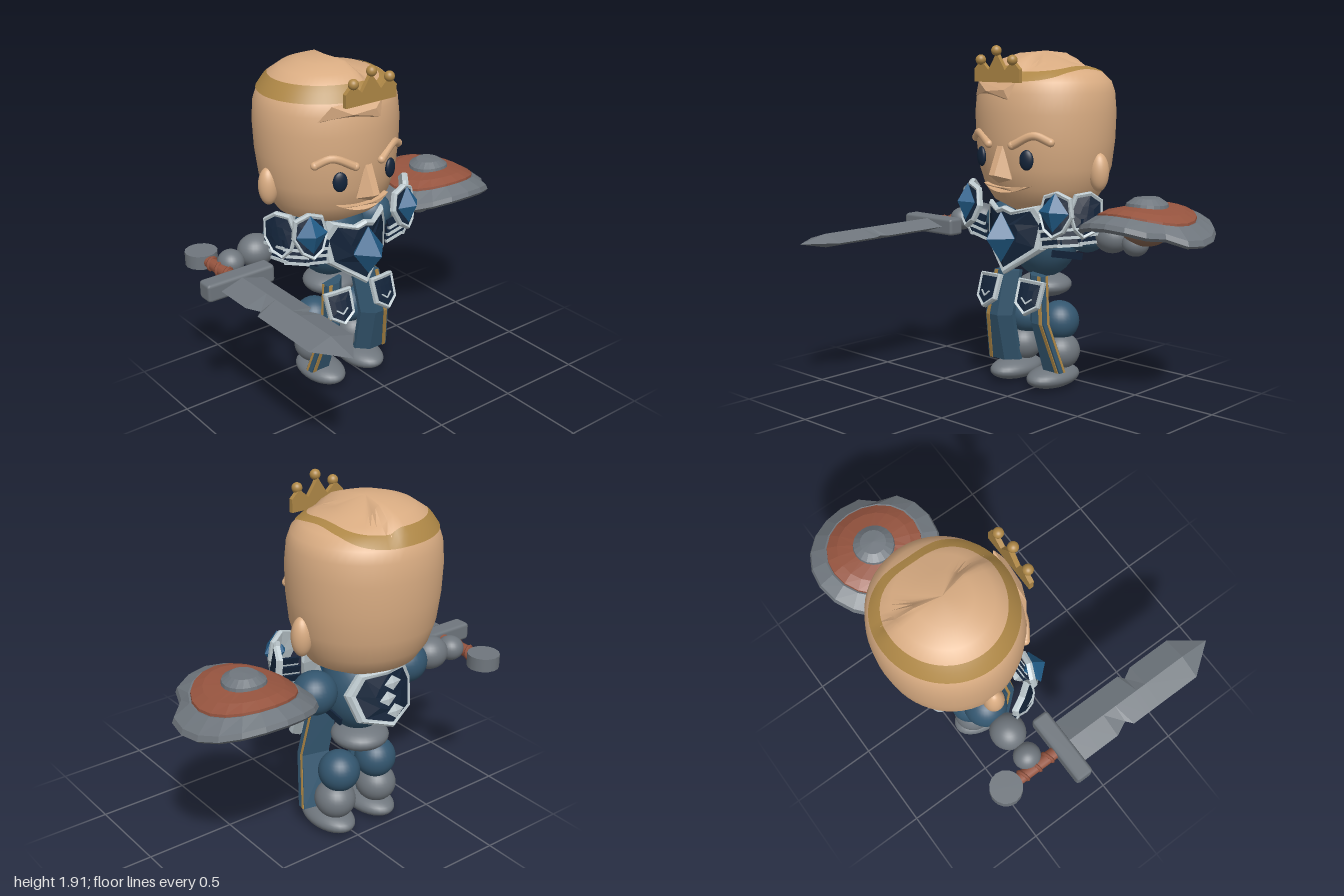
import * as THREE from 'three';
import { toCreasedNormals } from 'three/addons/utils/BufferGeometryUtils.js';
import { RoundedBoxGeometry } from 'three/addons/geometries/RoundedBoxGeometry.js';
import { ConvexGeometry } from 'three/addons/geometries/ConvexGeometry.js';

const V = (x, y, z) => new THREE.Vector3(x, y, z);

export function createModel() {
  const mat = (name, color) => {
    const m = new THREE.MeshStandardMaterial({ color });
    m.name = name;
    return m;
  };
  const skin = mat('skin', 0xd9ac82), blue = mat('blueCloth', 0x33566f), grey = mat('greyMetal', 0x6f767d);
  const red = mat('redLeather', 0x96543f), gold = mat('gold', 0xae8746), silver = mat('silver', 0xbcc8cd);
  const navy = mat('navy', 0x13243a), gemBlue = mat('gemBlue', 0x235f8c), brown = mat('brown', 0x84634f);

  const model = new THREE.Group();
  model.name = 'knight';
  const body = new THREE.Group();
  body.name = 'body';
  body.position.x = -0.08;
  model.add(body);

  const add = (name, geo, m, p = [0, 0, 0], r = [0, 0, 0], parent = body) => {
    const mesh = new THREE.Mesh(geo, m);
    mesh.name = name;
    mesh.position.set(...p);
    mesh.rotation.set(...r);
    parent.add(mesh);
    return mesh;
  };
  const ball = (name, m, p, r, parent) =>
    add(name, new THREE.SphereGeometry(1, 28, 18).scale(...r), m, p, [0, 0, 0], parent);
  const warp = (geo, rule) => {
    const a = geo.attributes.position, v = V();
    for (let i = 0; i < a.count; i++) {
      rule(v.fromBufferAttribute(a, i));
      a.setXYZ(i, v.x, v.y, v.z);
    }
    geo.computeVertexNormals();
    return geo;
  };
  // skin over stacked rings, counterclockwise seen from the end of the stack
  const loft = (rings, { crease = 0, cap = true, s = 1 } = {}) => {
    if (s < 0) rings = rings.map(r => r.map(p => V(-p.x, p.y, p.z)).reverse());
    if (cap) {
      const mid = r => {
        const c = r.reduce((t, p) => t.add(p), V(0, 0, 0)).divideScalar(r.length);
        return r.map(() => c);
      };
      rings = [mid(rings[0]), ...rings, mid(rings.at(-1))];
    }
    const pos = [];
    const tri = (a, b, c) => {
      if (a.distanceTo(b) > 1e-6 && b.distanceTo(c) > 1e-6 && a.distanceTo(c) > 1e-6)
        for (const p of [a, b, c]) pos.push(p.x, p.y, p.z);
    };
    for (let k = 0; k + 1 < rings.length; k++) {
      const lo = rings[k], hi = rings[k + 1], n = lo.length;
      for (let i = 0; i < n; i++) {
        const j = (i + 1) % n;
        tri(lo[i], lo[j], hi[j]);
        tri(lo[i], hi[j], hi[i]);
      }
    }
    const g = new THREE.BufferGeometry();
    g.setAttribute('position', new THREE.Float32BufferAttribute(pos, 3));
    g.computeVertexNormals();
    return crease ? toCreasedNormals(g, crease) : g;
  };
  const around = (n, f) => Array.from({ length: n }, (_, i) => f(i / n * Math.PI * 2));

  // head: flat-topped egg whose dome drops on one side of the parting
  const headProfile = [[.98, 0], [1.0, .18], [1.06, .295], [1.14, .347], [1.25, .382], [1.4, .4], [1.55, .405],
    [1.66, .395], [1.72, .374], [1.79, .325], [1.84, .25], [1.872, .15], [1.885, 0]];
  const headPoint = (a, y, r) => {
    const x = r * Math.sin(a);
    const drop = y > 1.72 ? 0.35 * THREE.MathUtils.smoothstep(x, 0.03, 0.09) : 0;
    return V(x, y - (y - 1.72) * drop, -0.4 + r * .94 * Math.cos(a));
  };
  add('head', loft(headProfile.map(([y, r]) => around(56, a => headPoint(a, y, r))), { crease: 0.6, cap: false }), skin);
  const domeY = r => {
    const i = headProfile.findIndex(([y, q]) => y > 1.72 && q <= r);
    const [y0, r0] = headProfile[i - 1], [y1, r1] = headProfile[i];
    return y0 + (y1 - y0) * (r0 - r) / (r0 - r1);
  };
  // gold circlet on the edge of the dome, set higher on the parted side
  const bandRing = (r0, shift) => around(72, a => {
    const r = r0 - shift * Math.max(0, Math.sin(a)) ** 4;
    return headPoint(a, domeY(r) + 0.005, r + 0.003);
  });
  add('circlet', loft([bandRing(.373, .09), bandRing(.34, .08), bandRing(.31, .07)], { cap: false, crease: 0.6 }), gold);
  const half = [[.163, 1.72], [.163, 1.79], [.115, 1.835], [.06, 1.785], [0, 1.875]];
  const mirrored = half.concat(half.slice(0, -1).reverse().map(([x, y]) => [-x, y]));
  const shape = pts => new THREE.Shape(pts.map(p => new THREE.Vector2(...p)));
  add('crownFront', new THREE.ExtrudeGeometry(shape(mirrored), { depth: .025, bevelEnabled: false }), gold, [0, 0, -.025]);
  for (const [x, y] of [[-.115, 1.838], [0, 1.887], [.115, 1.838]]) ball('crownBead', gold, [x, y, 0], [.028, .028, .028]);
  add('forelock', new ConvexGeometry([V(-.26, 1.64, -.11), V(-.2, 1.72, -.07), V(.1, 1.72, -.04), V(.07, 1.63, -.015),
    V(.04, 1.68, -.012), V(-.1, 1.67, -.022), V(.03, 1.7, -.1)]), skin);

  // face
  add('nose', new ConvexGeometry([V(-.02, 1.385, -.03), V(.02, 1.385, -.03), V(-.02, 1.225, .04), V(.02, 1.225, .04),
    V(-.075, 1.2, -.04), V(.075, 1.2, -.04), V(0, 1.178, -.015), V(0, 1.3, -.12)]), skin);
  const lip = new THREE.Shape();
  lip.moveTo(-.163, 1.165);
  lip.quadraticCurveTo(0, 1.085, .163, 1.165);
  lip.quadraticCurveTo(0, 1.14, -.163, 1.165);
  add('mouth', warp(new THREE.ExtrudeGeometry(lip, { depth: .05, bevelEnabled: false }), v => { v.z -= .085 + 1.3 * v.x * v.x; }), skin);
  for (const s of [-1, 1]) {
    ball('eye', navy, [s * .166, 1.31, -.056], [.04, .055, .02]).rotation.y = s * .35;
    const brow = [V(s * .275, 1.405, -.125), V(s * .2, 1.44, -.075), V(s * .085, 1.385, -.03)];
    add('eyebrow', new THREE.TubeGeometry(new THREE.CatmullRomCurve3(brow), 16, .023, 8), skin);
    for (const p of [brow[0], brow[2]]) ball('eyebrowEnd', skin, p.toArray(), [.023, .023, .023]);
    ball('ear', skin, [s * .385, 1.235, -.4], [.055, .105, .055]);
  }

  // trunk and limbs
  ball('torso', blue, [0, .86, -.39], [.21, .25, .19]);
  ball('pelvis', grey, [0, .565, -.4], [.155, .07, .155]);
  for (const s of [-1, 1]) {
    ball('thigh', blue, [s * .125, .372, -.385], [.113, .113, .113]);
    ball('shin', grey, [s * .142, .2, -.375], [.11, .105, .115]);
    ball('foot', grey, [s * .14, .065, -.315], [.115, .063, .187]);
    ball('upperArm', blue, [s * .305, .9, -.4], [.12, .115, .115]);
    ball('forearm', grey, [s * .49, .895, -.39], [.102, .09, .095]);
    ball('hand', grey, [s * .65, .875, -.385], [.072, .068, .075]);
  }

  // bordered armour plate: outline is the right half from top to bottom centre
  const plate = (name, halfOutline, bend, p, r = [0, 0, 0], inner = .82) => {
    const right = halfOutline.map(([x, y]) => [x, y]).reverse();
    const left = halfOutline.filter(([x]) => x > 0).map(([x, y]) => [-x, y]);
    const outline = right.concat(left);
    const ring = (k, z) => outline.map(([x, y]) => V(x * k, y * k, z - bend * (x * k) ** 2));
    const g = new THREE.Group();
    g.name = name;
    g.position.set(...p);
    g.rotation.set(...r);
    body.add(g);
    add('rim', loft([ring(0, 0), ring(1, 0), ring(1, .02), ring(.93, .032), ring(inner, .024)], { cap: false }), silver, undefined, undefined, g);
    add('field', loft([ring(inner, .024), ring(.4, .026), ring(0, .026)], { cap: false }), navy, undefined, undefined, g);
    return g;
  };
  const gem = (name, size, p, r, parent) => add(name, new THREE.OctahedronGeometry(1).scale(...size), gemBlue, p, r, parent);

  // breastplate and back plate
  const chest = [[0, .165], [.06, .145], [.18, .175], [.225, .08], [.2, -.07], [0, -.215]];
  plate('breastplate', chest, 2.6, [0, .885, -.075]);
  gem('chestGem', [.1, .14, .115], [0, .88, -.035]);
  const back = plate('backPlate', [[0, .15], [.15, .15], [.21, .05], [.17, -.1], [0, -.16]], 2, [0, .87, -.61], [.2, Math.PI, 0]);
  for (const [x, y] of [[.02, .075], [-.02, 0], [.02, -.075]])
    add('backDiamond', new THREE.OctahedronGeometry(1).scale(.055, .04, .01), silver, [x, y, .028], undefined, back);

  // layered shoulder guards wrapped round each upper arm
  for (const s of [-1, 1]) {
    const guard = [[0, .13], [.08, .1], [.1, 0], [.06, -.09], [0, -.13]];
    plate('shoulderGuard', guard, 2, [s * .315, 1.02, -.125], [-.15, s * .3, 0]);
    plate('outerShoulderGuard', guard, 2, [s * .425, 1.02, -.24], [-.25, s * 1.05, 0]);
    gem('shoulderGem', [.088, .105, .06], [s * .325, 1.04, -.095], [-.1, s * .25, 0]);
    [0, 1, 2].forEach(k => [0, .65, 1.3].forEach(a => {
      const R = .185 - k * .012, y = .955 - k * .045 + a * .02;
      const p = d => [s * (.27 + (R + d) * Math.sin(a)), y, -.31 + (R + d) * Math.cos(a)];
      add('shoulderLame', new THREE.BoxGeometry(.135, .05, .012), navy, p(0), [-.2, s * a, s * .2]);
      add('lameTrim', new THREE.BoxGeometry(.135, .016, .02), silver, [p(.006)[0], y - .02, p(.006)[2]], [-.2, s * a, s * .2]);
    }));
    add('sideStrap', new THREE.BoxGeometry(.012, .04, .26), navy, [s * .2, .76, -.36], [-.2, 0, 0]);
  }

  // split tabard with gold stripes, and hip plates over it
  const cuts = [[.12, .088, .27, -.22], [.4, .07, .22, -.14], [.66, .04, .18, -.17]];
  for (const s of [-1, 1]) {
    add('tabard', loft(cuts.map(([y, i, o, z]) => [V(i, y, z - .06), V(i + .06, y, z), V(o, y, z),
      V(o, y, z - .05), V(i, y, z - .085)]), { s }), blue);
    const bar = (x0, x1, z0, z1) => loft(cuts.map(([y, , o, z]) => [V(o + x0, y, z + z1), V(o + x1, y, z + z1),
      V(o + x1, y, z + z0), V(o + x0, y, z + z0)]), { s });
    add('tabardStripe', bar(-.032, -.01, -.002, .005), gold);
    add('tabardSideStripe', bar(-.002, .004, -.045, -.03), gold);
    const hip = plate('hipPlate', [[0, .1], [.083, .1], [.078, -.045], [0, -.1]], 1, [s * .15, .55, -.1], [-.32, s * .15, 0], .78);
    for (const t of [-1, 1])
      add('chevron', new THREE.BoxGeometry(.045, .008, .006), silver, [t * .017, -.02, .028], [0, 0, t * .7], hip);
  }

  // sword: diamond-section blade with two nicks
  const sword = new THREE.Group();
  sword.name = 'sword';
  sword.position.set(-.72, .856, 0);
  body.add(sword);
  const edge = [[-.17, .127, .127], [-.06, .127, .127], [.065, .127, .127], [.145, .09, .127], [.175, .127, .127],
    [.265, .127, .127], [.29, .127, .095], [.35, .127, .127], [.604, .127, .127]];
  const bladeRings = edge.map(([z, l, r]) => [V(r, 0, z), V(0, .038, z), V(-l, 0, z), V(0, -.038, z)]);
  bladeRings.push(bladeRings[0].map(() => V(0, 0, .778)));
  add('blade', loft(bladeRings), grey, undefined, undefined, sword);
  add('guard', new RoundedBoxGeometry(.4, .1, .1, 1, .018), grey, [0, 0, -.208], undefined, sword);
  add('grip', new THREE.CylinderGeometry(.033, .033, .26, 10), red, [0, 0, -.37], [Math.PI / 2, 0, 0], sword);
  for (const z of [-.3, -.38, -.46])
    add('gripWrap', new THREE.TorusGeometry(.033, .01, 6, 12), red, [0, 0, z], [0, .3, 0], sword);
  add('pommel', new THREE.CylinderGeometry(.088, .088, .075, 16), grey, [0, 0, -.572], undefined, sword);

  // round shield, bowed down at both sides, with one nick in its rim
  const disc = profile => loft(profile.map(([r, y]) => Array.from({ length: 20 }, (_, i) => {
    const a = i / 20 * Math.PI * 2;
    const q = r > .3 && i === 3 ? r * .87 : r;
    const x = q * Math.sin(a);
    return V(x, y - .7 * x * x, q * Math.cos(a));
  })), { cap: false });
  const shield = new THREE.Group();
  shield.name = 'shield';
  shield.position.set(.72, 0, -.385);
  body.add(shield);
  add('shieldRim', disc([[0, 1.03], [.2, 1.02], [.27, 1.0], [.345, .985], [.36, 1.005], [.35, 1.03], [.27, 1.06], [.25, 1.05]]), grey, undefined, undefined, shield);
  add('shieldFace', disc([[.262, 1.04], [.258, 1.068], [.2, 1.085], [.1, 1.09]]), red, undefined, undefined, shield);
  add('shieldBoss', disc([[.115, 1.08], [.11, 1.105], [.07, 1.13], [0, 1.133]]), grey, undefined, undefined, shield);
  ball('shieldHold', brown, [-.01, .955, 0], [.14, .085, .1], shield);

  return model;
}
